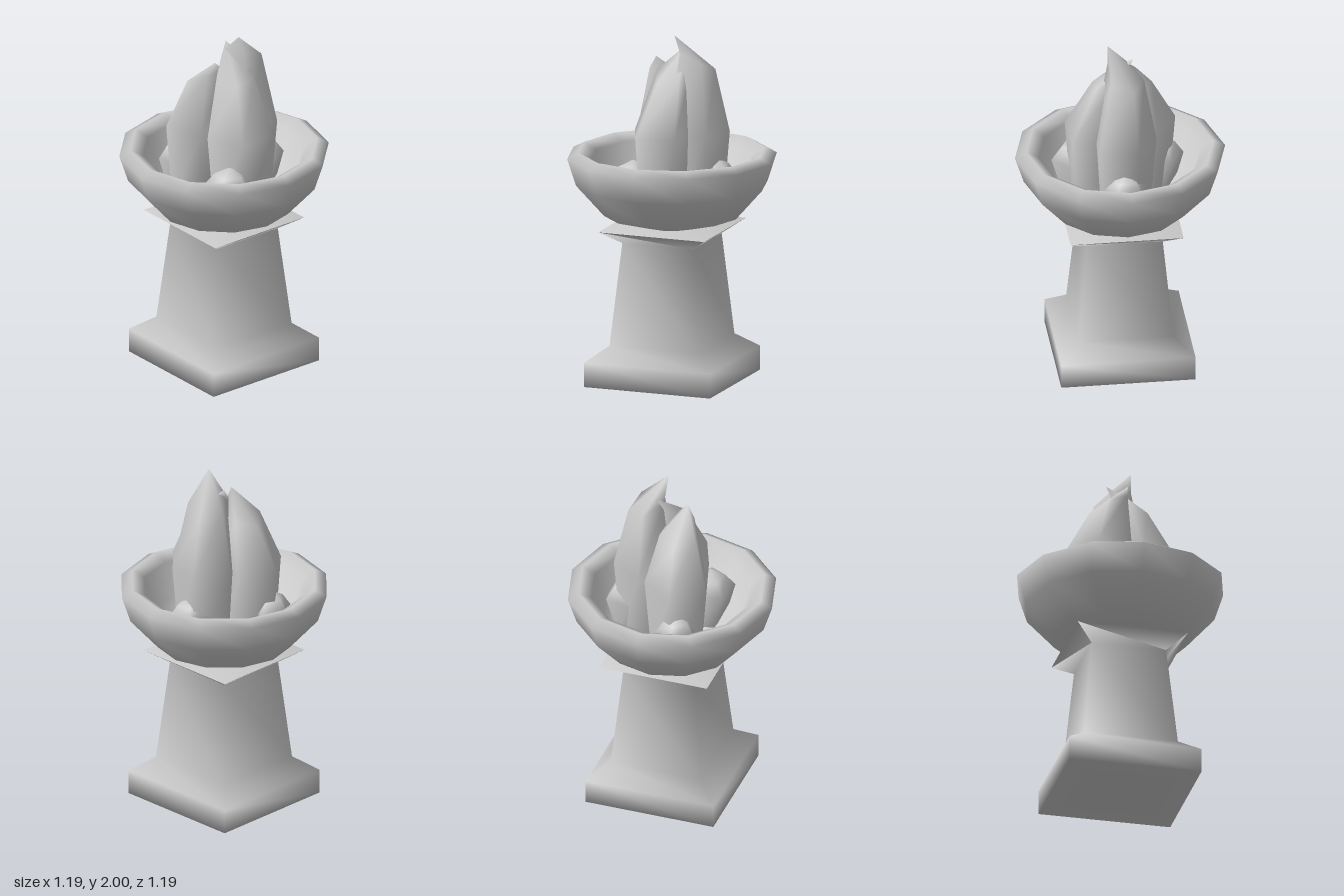
import * as THREE from 'three';

const stone = new THREE.MeshStandardMaterial({ color: 0xcccccc });
stone.name = 'paleStone';

function add(group, name, geometry) {
  const mesh = new THREE.Mesh(geometry, stone);
  mesh.name = name;
  group.add(mesh);
}

function lathe(points, sides, scale = 1, start = 0) {
  return new THREE.LatheGeometry(points.map(([r, y]) => new THREE.Vector2(r * scale, y)), sides, start);
}

// Five-sided loft through tilted rings [x, y, z, radius, tilt], closed by a tip
function loft(rings, tip, angle, lean) {
  const n = 5, pos = [], idx = [];
  for (const [cx, cy, cz, r, tilt] of rings) {
    for (let i = 0; i < n; i++) {
      const a = angle + (i / n) * Math.PI * 2;
      const dx = r * Math.cos(a), dz = r * Math.sin(a);
      pos.push(cx + dx, cy + tilt * (dx * lean.x + dz * lean.y), cz + dz);
    }
  }
  pos.push(...tip);
  const last = rings.length - 1, tipIndex = rings.length * n;
  for (let k = 0; k <= last; k++) {
    for (let i = 0; i < n; i++) {
      const j = (i + 1) % n, a = k * n + i, b = k * n + j;
      if (k === last) idx.push(a, tipIndex, b);
      else idx.push(a, a + n, b, b, a + n, b + n);
    }
  }
  const g = new THREE.BufferGeometry();
  g.setAttribute('position', new THREE.Float32BufferAttribute(pos, 3));
  g.setIndex(idx);
  g.computeVertexNormals();
  return g;
}

export function createModel() {
  const model = new THREE.Group();
  model.name = 'brazier';

  // Square pedestal with a plinth and a flared cap
  add(model, 'pedestal', lathe([
    [0, 0], [0.38, 0], [0.38, 0.14], [0.27, 0.225], [0.215, 0.81], [0.32, 0.885], [0, 0.885],
  ], 4, Math.SQRT2, Math.PI / 4));

  // Twelve-sided bowl: outside, rim, then the hollow
  add(model, 'bowl', lathe([
    [0, 0.88], [0.15, 0.885], [0.385, 0.95], [0.545, 1.13], [0.595, 1.285], [0.53, 1.32],
    [0.46, 1.28], [0.4, 1.09], [0.27, 1.0], [0, 0.98],
  ], 12));

  // Three tall flames, each leaning to the middle
  const flames = [
    { name: 'leftFlame', base: [0.145, 0], r: 0.19, angle: -93, top: [0.14, 1.85, -0.01], tip: [0.045, 2.0, 0.075] },
    { name: 'frontFlame', base: [0, 0.135], r: 0.195, angle: 122, top: [0.03, 1.79, 0.06], tip: [0.065, 1.92, -0.065] },
    { name: 'backFlame', base: [-0.085, -0.135], r: 0.19, angle: -93, top: [-0.07, 1.74, -0.08], tip: [-0.085, 1.86, 0.025] },
  ];
  for (const f of flames) {
    const [x, z] = f.base;
    const lean = new THREE.Vector2(f.tip[0] - x, f.tip[2] - z).normalize();
    const rings = [
      [x, 0.98, z, f.r * 0.8, 0],
      [x, 1.44, z, f.r, 0],
      [...f.top, 0.11, 0.5],
    ];
    add(model, f.name, loft(rings, f.tip, THREE.MathUtils.degToRad(f.angle), lean));
  }

  // Short embers at the foot of the flames
  const embers = [
    { name: 'leftEmber', at: [0.265, 0.0], r: 0.13, angle: 30 },
    { name: 'frontEmber', at: [-0.145, 0.23], r: 0.145, angle: 80 },
    { name: 'backEmber', at: [-0.12, -0.255], r: 0.12, angle: -90 },
  ];
  for (const e of embers) {
    const [x, z] = e.at;
    const rings = [
      [x * 0.85, 0.98, z * 0.85, e.r * 0.8, 0],
      [x, 1.19, z, e.r, 0],
      [x, 1.26, z, e.r * 0.6, 0],
    ];
    add(model, e.name, loft(rings, [x, 1.3, z], THREE.MathUtils.degToRad(e.angle), new THREE.Vector2()));
  }
  return model;
}
